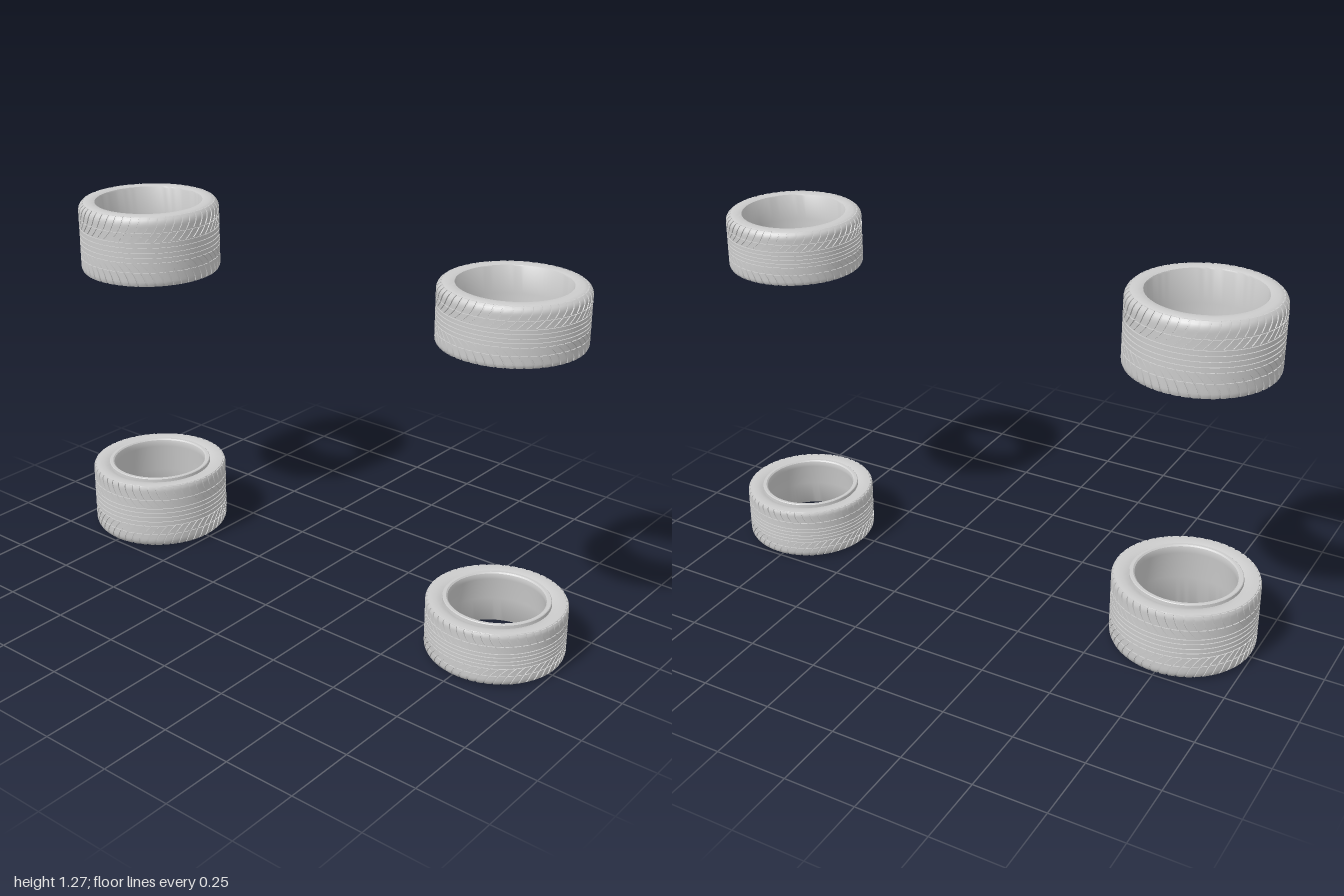
import * as THREE from 'three';
import { mergeGeometries, toCreasedNormals } from 'three/addons/utils/BufferGeometryUtils.js';

const material = new THREE.MeshStandardMaterial({ color: 0xcccccc });
const GROOVE = 0.004; // tread depth

// Outer tread radius at height t (0 = rounded face, 1 = lipped face)
function treadRadius(t, R) {
  const low = Math.max(0, (0.13 - t) / 0.13);
  const high = Math.max(0, (t - 0.93) / 0.07);
  const drop = (k, s) => s * (1 - Math.sqrt(1 - Math.min(1, k * k)));
  return R * (1 - drop(low, 0.1) - drop(high, 0.035));
}

// Carcass with both sidewalls, bead lip, inner wall and the ribbed centre band
function makeCarcass(R, H) {
  const p = [];
  const add = (r, y) => p.push(new THREE.Vector2(r, y));
  add(0.755 * R, 0.03 * H);
  add(0.765 * R, 0.012 * H);
  add(0.79 * R, 0.002 * H);
  add(0.84 * R, 0);
  add(0.88 * R, 0);
  for (const t of [0.01, 0.025, 0.05, 0.09, 0.13, 0.24, 0.35]) add(treadRadius(t, R) - GROOVE, t * H);
  // centre ribs split by circumferential grooves
  const ribs = [[0.365, 0.42], [0.435, 0.49], [0.51, 0.565], [0.58, 0.635]];
  for (const [a, b] of ribs) {
    add(R - GROOVE, a * H);
    add(R, a * H);
    add(R, b * H);
    add(R - GROOVE, b * H);
  }
  for (const t of [0.65, 0.8, 0.93, 0.97, 0.995]) add(treadRadius(t, R) - GROOVE, t * H);
  // lipped sidewall
  add(0.92 * R, H);
  add(0.85 * R, H - 0.001);
  add(0.79 * R, H - 0.005);
  add(0.765 * R, H - 0.008);
  add(0.76 * R, H + 0.003);
  add(0.75 * R, H + 0.005);
  add(0.71 * R, H + 0.005);
  add(0.69 * R, H + 0.001);
  add(0.68 * R, H - 0.008);
  // inner wall
  add(0.685 * R, 0.9 * H);
  add(0.735 * R, 0.48 * H);
  add(0.755 * R, 0.03 * H);
  return toCreasedNormals(new THREE.LatheGeometry(p, 80), 0.6);
}

// One curved tread block wrapped on the tyre; sweep bends it towards the centre
function makeLug(R, H, angle, width, t0, t1, sweep) {
  const g = new THREE.BoxGeometry(1, 1, 1, 2, 6, 1);
  const pos = g.attributes.position;
  for (let i = 0; i < pos.count; i++) {
    const t = THREE.MathUtils.lerp(t0, t1, pos.getY(i) + 0.5);
    const inward = 1 - Math.abs(t - 0.5) * 2; // 0 at the shoulder, 1 in the middle
    const a = angle + pos.getX(i) * width + sweep * inward * inward;
    const r = treadRadius(t, R) - (pos.getZ(i) < 0 ? GROOVE * 1.5 : 0);
    pos.setXYZ(i, r * Math.sin(a), t * H, r * Math.cos(a));
  }
  g.computeVertexNormals();
  return g;
}

function makeTread(R, H) {
  const lugs = [];
  const count = 52;
  const pitch = (Math.PI * 2) / count;
  for (let i = 0; i < count; i++) {
    const a = i * pitch;
    // shoulder blocks, then short inner blocks, on both sides
    lugs.push(makeLug(R, H, a, pitch * 0.76, 0.012, 0.21, 0.4));
    lugs.push(makeLug(R, H, a, pitch * 0.82, 0.225, 0.35, 0.4));
    lugs.push(makeLug(R, H, a + pitch / 2, pitch * 0.76, 0.79, 0.99, 0.4));
    lugs.push(makeLug(R, H, a + pitch / 2, pitch * 0.82, 0.65, 0.775, 0.4));
  }
  return mergeGeometries(lugs);
}

export function createModel() {
  const model = new THREE.Group();
  model.name = 'tyreSet';
  const sizes = [
    { name: 'wideTyre', R: 0.25, H: 0.25, x: -0.75, z: 0 },
    { name: 'narrowTyre', R: 0.233, H: 0.19, x: 0.767, z: -0.018 },
  ];
  for (const { name, R, H, x, z } of sizes) {
    const carcass = makeCarcass(R, H);
    const tread = makeTread(R, H);
    // lower tyre has its lip up, upper tyre is turned over
    for (const upper of [false, true]) {
      const tyre = new THREE.Group();
      tyre.name = (upper ? 'upper ' : 'lower ') + name;
      const body = new THREE.Mesh(carcass, material);
      body.name = 'carcass';
      const blocks = new THREE.Mesh(tread, material);
      blocks.name = 'treadBlocks';
      tyre.add(body, blocks);
      tyre.position.set(x, upper ? 1.268 : 0, z);
      if (upper) tyre.rotation.x = Math.PI;
      model.add(tyre);
    }
  }
  return model;
}
